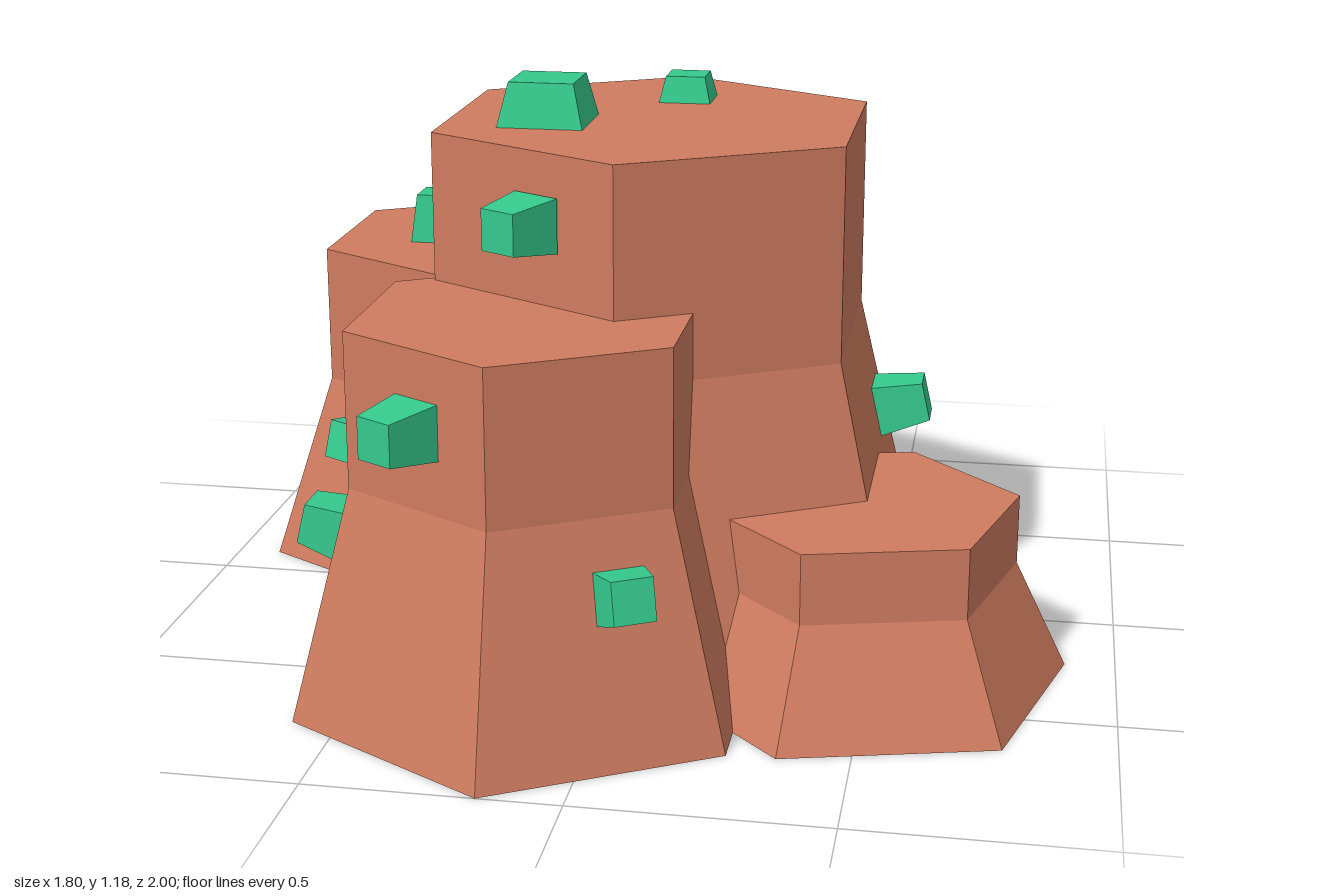
import * as THREE from 'three';

const rock = new THREE.MeshStandardMaterial({ color: 0xd07c60, flatShading: true });
const leaf = new THREE.MeshStandardMaterial({ color: 0x35c98d, flatShading: true });

// Six-sided rock column: flared foot, straight upper part, closed ends
function column(name, x, z, footR, topR, bend, height, turn = 0) {
  const profile = [[0, 0], [footR, 0], [topR, bend], [topR, height], [0, height]]
    .map(([r, y]) => new THREE.Vector2(r, y));
  const geo = new THREE.LatheGeometry(profile, 6).toNonIndexed();
  geo.computeVertexNormals();
  const mesh = new THREE.Mesh(geo, rock);
  mesh.name = name;
  mesh.position.set(x, 0, z);
  mesh.rotation.y = THREE.MathUtils.degToRad(turn);
  return mesh;
}

// Square tapered shrub growing from a base point along a normal
function shrub(name, base, normal, size = 0.11, height = 0.11) {
  const geo = new THREE.CylinderGeometry(size * 0.76 / Math.SQRT2, size / Math.SQRT2, height, 4);
  geo.rotateY(Math.PI / 4);
  geo.translate(0, height / 2, 0);
  const mesh = new THREE.Mesh(geo, leaf);
  const n = normal.clone().normalize();
  const side = n.y > 0.99
    ? new THREE.Vector3(1, 0, 0)
    : new THREE.Vector3(0, 1, 0).cross(n).normalize();
  const basis = new THREE.Matrix4().makeBasis(side, n, side.clone().cross(n));
  mesh.quaternion.setFromRotationMatrix(basis);
  mesh.position.set(...base);
  mesh.name = name;
  return mesh;
}

export function createModel() {
  const group = new THREE.Group();
  group.name = 'rockFormation';

  group.add(
    column('mainColumn', 0.01, 0.057, 0.65, 0.48, 0.65, 1.09),
    column('backRightColumn', -0.45, -0.365, 0.528, 0.387, 0.41, 0.715),
    column('frontColumn', -0.165, 0.505, 0.495, 0.365, 0.47, 0.785),
    column('backLeftColumn', -0.05, -0.6, 0.43, 0.322, 0.23, 0.375, 22.3),
    column('frontLeftColumn', 0.475, 0.33, 0.436, 0.325, 0.23, 0.375, 44.5),
  );

  // Shrubs on the flat tops: base point, size, height
  const up = new THREE.Vector3(0, 1, 0);
  [
    [[-0.2, 1.09, 0.14], 0.177, 0.09],
    [[0.045, 1.09, -0.15], 0.11, 0.055],
    [[-0.56, 0.713, -0.325], 0.11, 0.11],
    [[0.012, 0.373, -0.693], 0.11, 0.107],
  ].forEach(([p, s, h]) => group.add(shrub('topShrub', p, up, s, h)));

  // Shrubs on the walls: base point, horizontal facing (degrees from +z to +x), upward tilt
  [
    [[-0.16, 0.95, 0.443], -30, 0],
    [[-0.315, 0.635, 0.784], -30, 0],
    [[0.05, 0.315, 0.748], 30, 13.5],
    [[-0.517, 0.315, 0.52], -90, 13.5],
    [[-0.65, 0.3, -0.055], -30, 16],
    [[-0.672, 0.27, -0.665], -150, 16],
    [[0.472, 0.435, -0.11], 90, 13],
    [[0.265, 0.525, -0.305], 150, 13],
    [[0.145, 0.92, -0.345], 150, 0],
  ].forEach(([p, facing, tilt]) => {
    const a = THREE.MathUtils.degToRad(facing);
    const t = THREE.MathUtils.degToRad(tilt);
    const n = new THREE.Vector3(Math.sin(a) * Math.cos(t), Math.sin(t), Math.cos(a) * Math.cos(t));
    group.add(shrub('wallShrub', p, n));
  });

  return group;
}
